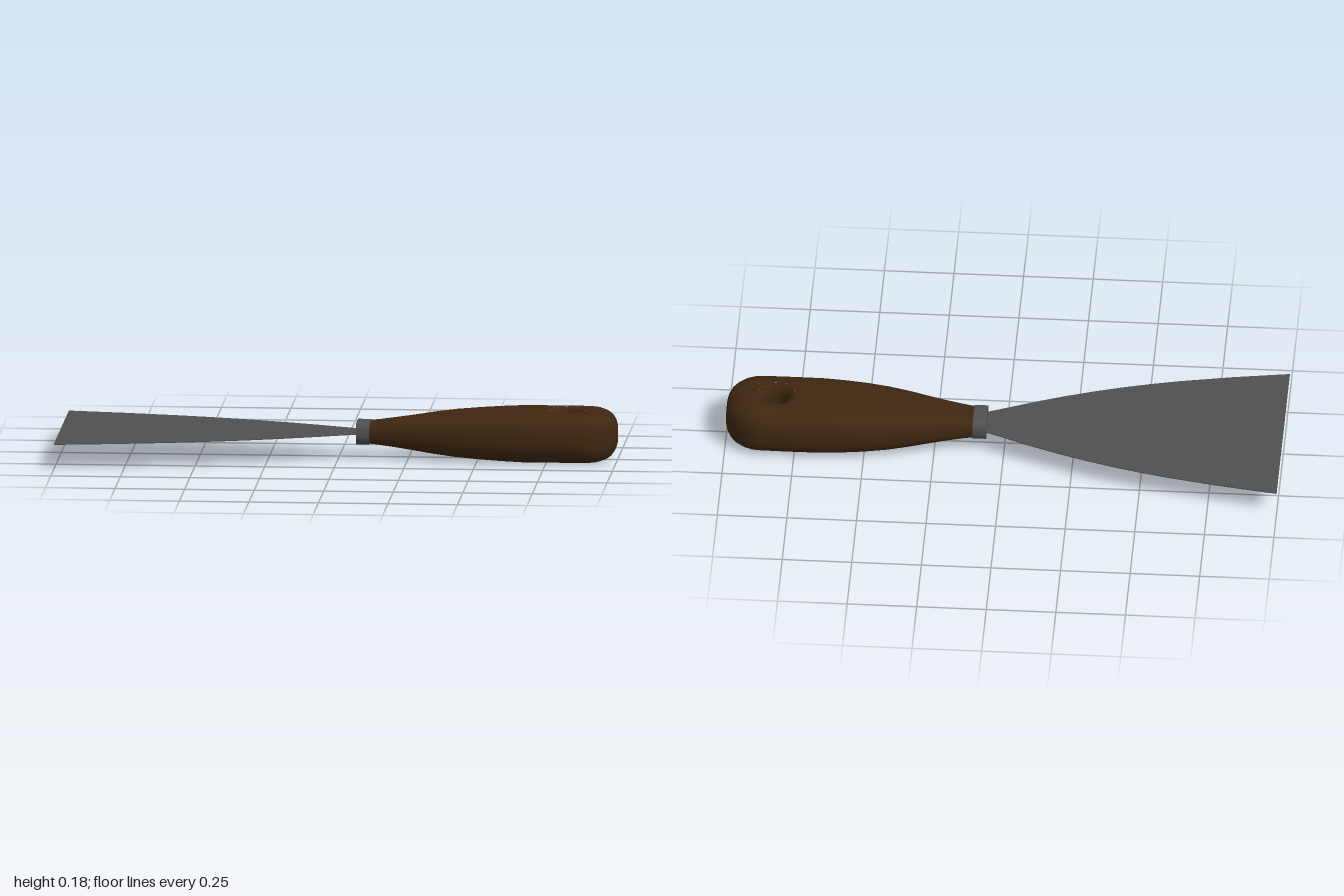
import * as THREE from 'three';

const MID = 0.09;            // height of the centre plane
const SEG = 6;               // segments per rounded corner
const HOLE_X = 0.82, HOLE_R = 0.068, FLAT = 0.078;

// Rounded-rectangle cross-section as [z, y] points, flat on top and bottom
function section(w, h) {
  const flat = Math.min(FLAT, w * 0.53), side = h * 0.18, pts = [];
  for (let q = 0; q < 4; q++) {
    const sz = q === 0 || q === 3 ? 1 : -1, sy = q < 2 ? 1 : -1;
    for (let k = 0; k <= SEG; k++) {
      const a = (q + k / SEG) * Math.PI / 2;
      pts.push([sz * flat + Math.cos(a) * (w - flat), sy * side + Math.sin(a) * (h - side)]);
    }
  }
  return pts;
}

// Loft through [x, halfWidth, halfHeight] stations; flats near the hole stay open
function handleGeometry(stations, from, to) {
  const n = 4 * (SEG + 1), pos = [], all = [], open = [];
  for (const [x, w, h] of stations) for (const [z, y] of section(w, h)) pos.push(x, y, z);
  for (let i = 0; i < stations.length - 1; i++) {
    for (let j = 0; j < n; j++) {
      const a = i * n + j, b = i * n + (j + 1) % n, c = a + n, d = b + n;
      const quad = [a, c, b, b, c, d];
      all.push(...quad);
      const isFlat = j === SEG || j === 3 * SEG + 2;
      const inPatch = stations[i][0] >= from && stations[i + 1][0] <= to;
      if (!(isFlat && inPatch)) open.push(...quad);
    }
  }
  // rounded end cap
  const last = (stations.length - 1) * n, centre = pos.length / 3;
  pos.push(stations[stations.length - 1][0] + 0.001, 0, 0);
  for (let j = 0; j < n; j++) {
    const tri = [centre, last + (j + 1) % n, last + j];
    all.push(...tri);
    open.push(...tri);
  }
  const g = new THREE.BufferGeometry();
  g.setAttribute('position', new THREE.Float32BufferAttribute(pos, 3));
  g.setIndex(all);
  g.computeVertexNormals();
  g.setIndex(open);
  return g;
}

export function createModel() {
  const model = new THREE.Group();
  model.name = 'scraper';
  const wood = new THREE.MeshStandardMaterial({ color: 0x3f2710 });
  wood.name = 'dark brown wood';
  const steel = new THREE.MeshStandardMaterial({ color: 0x505050 });
  steel.name = 'grey steel';

  const add = (name, geometry, material, parent = model) => {
    const mesh = new THREE.Mesh(geometry, material);
    mesh.name = name;
    parent.add(mesh);
    return mesh;
  };

  // Handle body
  const handle = new THREE.Group();
  handle.name = 'handle';
  handle.position.y = MID;
  model.add(handle);
  add('handleBody', handleGeometry([
    [0.10, 0.063, 0.036], [0.15, 0.071, 0.041], [0.20, 0.081, 0.047], [0.27, 0.097, 0.056],
    [0.34, 0.114, 0.066], [0.42, 0.131, 0.075], [0.50, 0.143, 0.081], [0.58, 0.150, 0.086],
    [0.66, 0.154, 0.09], [0.74, 0.155, 0.09], [0.82, 0.155, 0.09], [0.87, 0.153, 0.09],
    [0.90, 0.148, 0.09], [0.93, 0.134, 0.088], [0.96, 0.112, 0.080], [0.98, 0.090, 0.068],
    [0.993, 0.068, 0.051], [0.999, 0.045, 0.032],
  ], 0.74, 0.90), wood, handle);

  // Flat plates around the hanging hole, top and bottom
  const plate = new THREE.Shape([
    new THREE.Vector2(0.74, -FLAT), new THREE.Vector2(0.90, -FLAT),
    new THREE.Vector2(0.90, FLAT), new THREE.Vector2(0.74, FLAT),
  ]);
  const hole = new THREE.Path();
  hole.absarc(HOLE_X, 0, HOLE_R, 0, Math.PI * 2, true);
  plate.holes.push(hole);
  for (const s of [1, -1]) {
    const g = new THREE.ShapeGeometry(plate, 32).rotateX(-s * Math.PI / 2).translate(0, s * 0.09, 0);
    add(s > 0 ? 'holePlateTop' : 'holePlateBottom', g, wood, handle);
  }

  // Hole wall with rounded rims, facing inward
  const rim = [[HOLE_R, 0.09], [0.058, 0.086], [0.049, 0.077], [0.044, 0.065], [0.042, 0.05]];
  const wall = [...rim, ...rim.map(([r, y]) => [r, -y]).reverse()];
  add('hangingHole', new THREE.LatheGeometry(wall.map(([r, y]) => new THREE.Vector2(r, y)), 32)
    .translate(HOLE_X, 0, 0), wood, handle);

  // Ferrule collar
  const collar = new THREE.Shape(section(0.069, 0.04).map(([z, y]) => new THREE.Vector2(z, y)));
  add('ferrule', new THREE.ExtrudeGeometry(collar, { depth: 0.048, bevelEnabled: false })
    .rotateY(Math.PI / 2).translate(0.064, MID, 0), steel);

  // Thin flared blade
  const edge = [[0.08, 0.054], [0, 0.088], [-0.1, 0.131], [-0.2, 0.170], [-0.3, 0.205],
    [-0.4, 0.236], [-0.5, 0.263], [-0.6, 0.287], [-0.8, 0.326], [-1, 0.358]];
  const outline = [...edge, ...edge.map(([x, z]) => [x, -z]).reverse()];
  const bladeShape = new THREE.Shape(outline.map(([x, z]) => new THREE.Vector2(x, z)));
  add('blade', new THREE.ExtrudeGeometry(bladeShape, { depth: 0.003, bevelEnabled: false })
    .rotateX(Math.PI / 2).translate(0, MID + 0.0015, 0), steel);

  return model;
}
